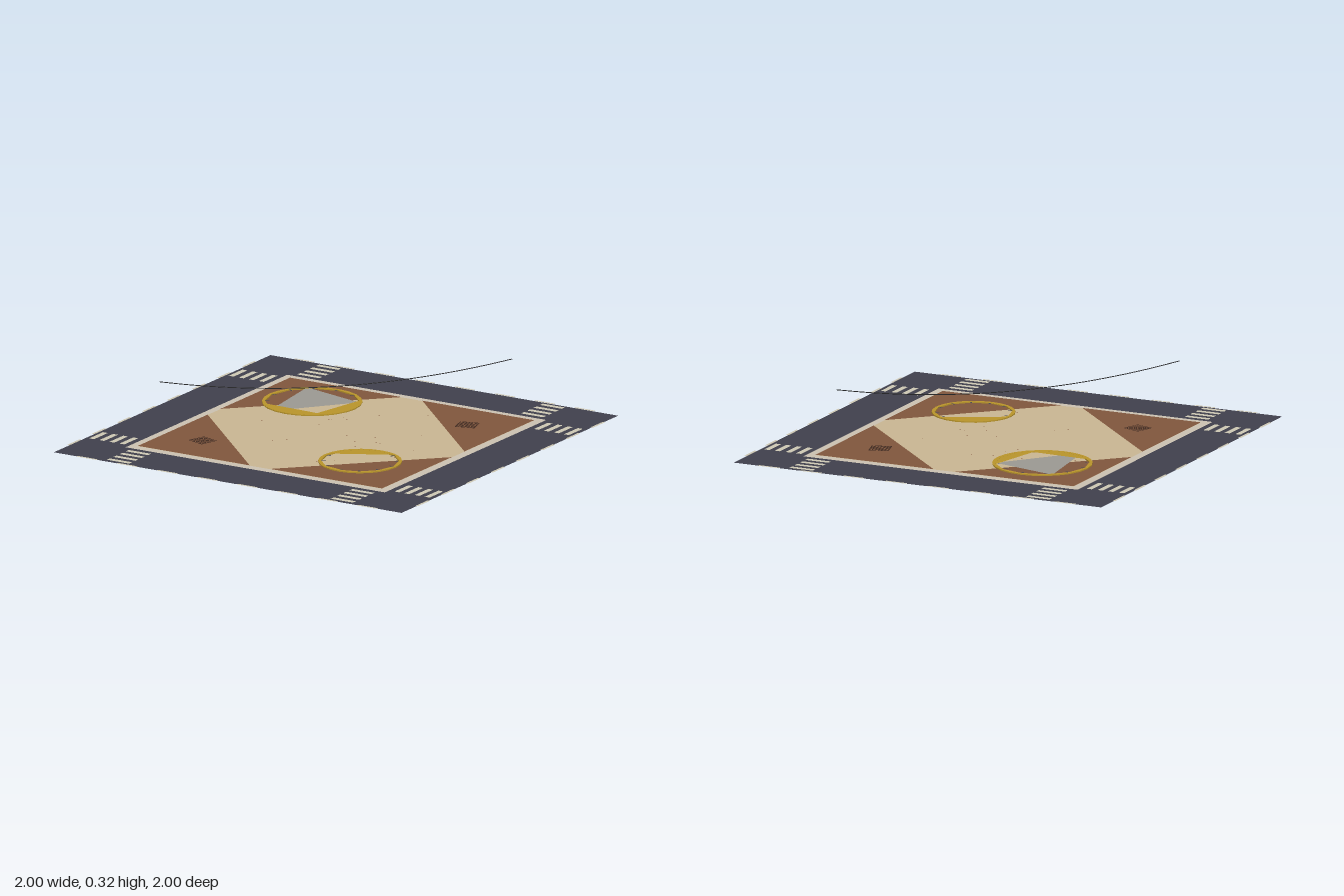
import * as THREE from 'three';
import { mergeGeometries } from 'three/addons/utils/BufferGeometryUtils.js';

const material = (name, color) => {
  const m = new THREE.MeshStandardMaterial({ color, side: THREE.DoubleSide });
  m.name = name;
  return m;
};

// Outline given as [x, z] points, laid flat facing up
const outline = (points) => new THREE.Shape(points.map(([x, z]) => new THREE.Vector2(x, -z)));
const flat = (points, y = 0) =>
  new THREE.ShapeGeometry(outline(points)).rotateX(-Math.PI / 2).translate(0, y, 0);
const slab = (w, d, x, y, z) =>
  new THREE.PlaneGeometry(w, d).rotateX(-Math.PI / 2).translate(x, y, z);

// Points along an arc, angles in degrees from +x towards +z
const arc = (r, from, to, n = 16) =>
  Array.from({ length: n + 1 }, (_, i) => {
    const a = THREE.MathUtils.degToRad(from + ((to - from) * i) / n);
    return [r * Math.cos(a), r * Math.sin(a)];
  });

export function createModel() {
  const model = new THREE.Group();
  const asphalt = material('asphalt', 0x40404c);
  const kerbStone = material('kerb stone', 0xcac1b1);
  const sand = material('sand paving', 0xc8b592);
  const brick = material('brick paving', 0x80563d);
  const paint = material('road paint', 0xcdc7b3);
  const gold = material('gold', 0xb8942a);
  const steel = material('steel', 0x9a9892);
  const slate = material('slate', 0x45454f);
  const iron = material('dark iron', 0x40291f);
  const black = material('cable black', 0x1c1c1e);

  const add = (name, geometry, mat, parent = model) => {
    const mesh = new THREE.Mesh(geometry, mat);
    mesh.name = name;
    parent.add(mesh);
    return mesh;
  };

  // Ground layers
  add('road', slab(1.98, 1.98, 0, 0, 0), asphalt);
  add('kerb', slab(1.476, 1.476, 0, 0.002, 0), kerbStone);
  add('plaza', slab(1.39, 1.39, 0, 0.0035, 0), sand);
  const corners = [];
  for (const sx of [-1, 1]) for (const sz of [-1, 1]) {
    const c = 0.695, e = 0.058;
    corners.push(flat([[sx * c, sz * c], [sx * e, sz * c], [sx * c, sz * e]], 0.005));
  }
  add('brickCorners', mergeGeometries(corners), brick);

  // Crosswalks and lane dashes, the same on all four sides
  const crossings = [], dashes = [];
  for (let side = 0; side < 4; side++) {
    const turn = (g) => g.rotateY((side * Math.PI) / 2);
    for (const x of [-0.637, 0.637])
      for (let i = 0; i < 4; i++)
        crossings.push(turn(slab(0.126, 0.028, x, 0.002, 0.783 + i * 0.0573)));
    for (let i = 0; i < 8; i++)
      dashes.push(turn(slab(0.112, 0.014, (i - 3.5) * 0.228, 0.002, 0.993)));
  }
  add('crosswalks', mergeGeometries(crossings), paint);
  add('laneDashes', mergeGeometries(dashes), paint);

  // Gold rings with hour ticks and partial fillings bounded by chords
  const ring = (name, r, x, z, segments) => {
    const group = new THREE.Group();
    group.name = name;
    group.position.set(x, 0, z);
    const shape = outline(arc(r, 0, 360, 24));
    shape.holes.push(new THREE.Path(arc(r - 0.014, 0, 360, 12).map(([a, b]) => new THREE.Vector2(a, b))));
    const rim = new THREE.ExtrudeGeometry(shape, { depth: 0.006, bevelEnabled: false });
    add('rim', rim.rotateX(-Math.PI / 2).translate(0, 0.009, 0), gold, group);
    segments.forEach(([from, to]) => add('rimFill', flat(arc(r, from, to), 0.0145), gold, group));
    const ticks = [];
    for (let i = 0; i < 12; i++)
      ticks.push(slab(0.026, 0.009, r - 0.024, 0.0135, 0).rotateY((i * Math.PI) / 6));
    add('ticks', mergeGeometries(ticks), slate, group);
    model.add(group);
    return group;
  };
  const large = ring('largeRing', 0.243, -0.373, -0.38, [[43, 141], [-37, 60]]);
  ring('smallRing', 0.203, 0.368, 0.37, [[185, 299], [72, 130]]);

  // Steel plate inside the large ring
  add('steelPlate', flat([[-0.147, -0.19], [0.182, -0.107], [0.178, -0.07], [-0.02, 0.175],
    [-0.1, 0.165]], 0.0138), steel, large);

  // Drain grates: crossed bars
  const grate = (x, z, angle) => {
    const bars = [];
    for (let i = 0; i < 7; i++) {
      const o = (i - 3) * 0.0155;
      bars.push(slab(0.1, 0.006, 0, 0.007, o), slab(0.006, 0.09, o, 0.007, 0));
    }
    const mesh = add('drainGrate', mergeGeometries(bars), iron);
    mesh.position.set(x, 0, z);
    mesh.rotation.y = angle;
  };
  grate(0.467, -0.45, 0.26);
  grate(-0.475, 0.455, -0.32);

  // Sagging cable across the diagonal
  const sag = Array.from({ length: 13 }, (_, i) => {
    const t = i / 6 - 1;
    return new THREE.Vector3(0.618 * t, 0.24 + 0.08 * t * t, -0.618 * t);
  });
  add('cable', new THREE.TubeGeometry(new THREE.CatmullRomCurve3(sag), 32, 0.0022, 5), black);

  // Small pebbles scattered over the plaza
  let seed = 7;
  const random = () => (seed = (seed * 16807) % 2147483647) / 2147483647;
  const pebbles = [];
  for (let i = 0; i < 30; i++)
    pebbles.push(slab(0.006, 0.006, (random() - 0.5) * 1.1, 0.0062, (random() - 0.5) * 1.1));
  add('pebbles', mergeGeometries(pebbles), brick);

  return model;
}
